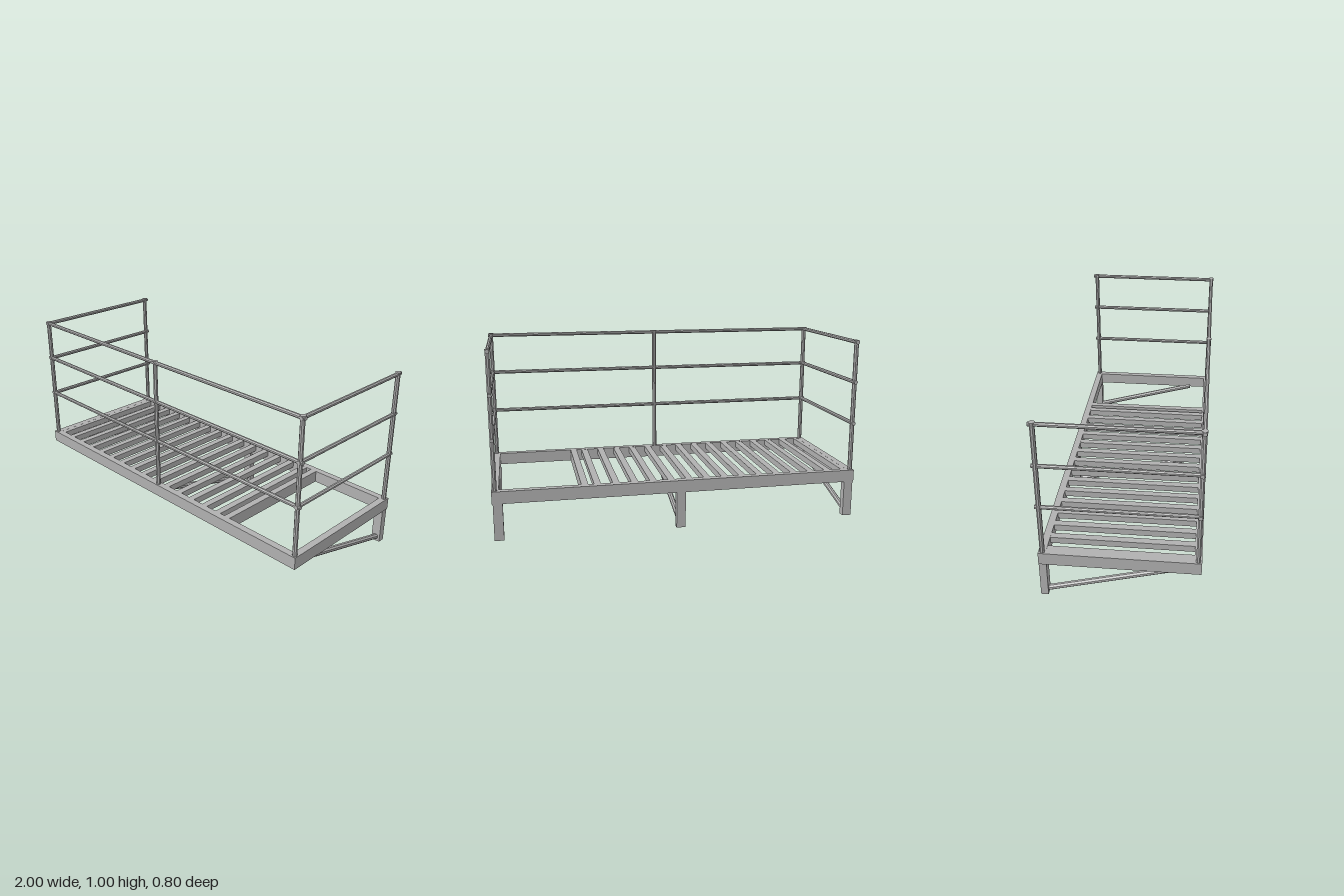
import * as THREE from 'three';

export function createModel() {
  const model = new THREE.Group();
  model.name = 'railedPlatform';
  const steel = new THREE.MeshStandardMaterial({ color: 0xb0b0b0, flatShading: true });
  steel.name = 'grey steel';

  // Box given by its minimum and maximum on each axis
  function box(name, x0, x1, y0, y1, z0, z1) {
    const mesh = new THREE.Mesh(new THREE.BoxGeometry(x1 - x0, y1 - y0, z1 - z0), steel);
    mesh.name = name;
    mesh.position.set((x0 + x1) / 2, (y0 + y1) / 2, (z0 + z1) / 2);
    model.add(mesh);
  }

  // Eight-sided bar between two points, measured across its flats
  const up = new THREE.Vector3(0, 1, 0);
  function bar(name, from, to, width) {
    const a = new THREE.Vector3(...from);
    const b = new THREE.Vector3(...to);
    const dir = b.clone().sub(a);
    const radius = width / 2 / Math.cos(Math.PI / 8);
    const geometry = new THREE.CylinderGeometry(radius, radius, dir.length(), 8);
    geometry.rotateY(Math.PI / 8);
    const mesh = new THREE.Mesh(geometry, steel);
    mesh.name = name;
    mesh.position.copy(a).add(b).multiplyScalar(0.5);
    mesh.quaternion.setFromUnitVectors(up, dir.normalize());
    model.add(mesh);
  }

  // Deck frame with a cross beam beside the open hatch
  const deckBottom = 0.2, deckTop = 0.267, beam = 0.037;
  box('frontBeam', -1, 1, deckBottom, deckTop, 0.4 - beam, 0.4);
  box('backBeam', -1, 1, deckBottom, deckTop, -0.4, -0.4 + beam);
  box('rightBeam', -1, -1 + beam, deckBottom, deckTop, -0.4 + beam, 0.4 - beam);
  box('leftBeam', 1 - beam, 1, deckBottom, deckTop, -0.4 + beam, 0.4 - beam);
  box('hatchBeam', 0.498, 0.535, deckBottom, deckTop, -0.4 + beam, 0.4 - beam);

  // Deck slats
  for (let i = 0; i < 15; i++) {
    const x = -0.954 + i * 0.1002;
    const left = i === 0 ? -1 + beam : x - 0.0185;
    box('slat', left, x + 0.0185, 0.232, deckTop - 0.0005, -0.4 + beam, 0.4 - beam);
  }

  // Back legs with sloping braces
  for (const x of [-0.97, 0, 0.97]) {
    box('leg', x - 0.025, x + 0.025, 0, deckBottom, -0.4, -0.362);
    bar('brace', [x, 0.025, -0.367], [x, 0.2, 0.266], 0.028);
  }

  // Railing posts with small caps
  const postZ = 0.382;
  for (const [x, z] of [[-0.983, postZ], [0, postZ], [0.983, postZ], [-0.983, -0.38], [0.983, -0.38]]) {
    bar('post', [x, deckTop, z], [x, 0.995, z], 0.023);
    bar('postCap', [x, 0.994, z], [x, 1, z], 0.028);
  }

  // Three rails along the front and both ends
  for (const y of [0.536, 0.768, 0.989]) {
    bar('frontRail', [-1, y, postZ], [1, y, postZ], 0.02);
    for (const x of [-0.983, 0.983]) bar('sideRail', [x, y, -0.4], [x, y, 0.395], 0.02);
  }

  return model;
}
